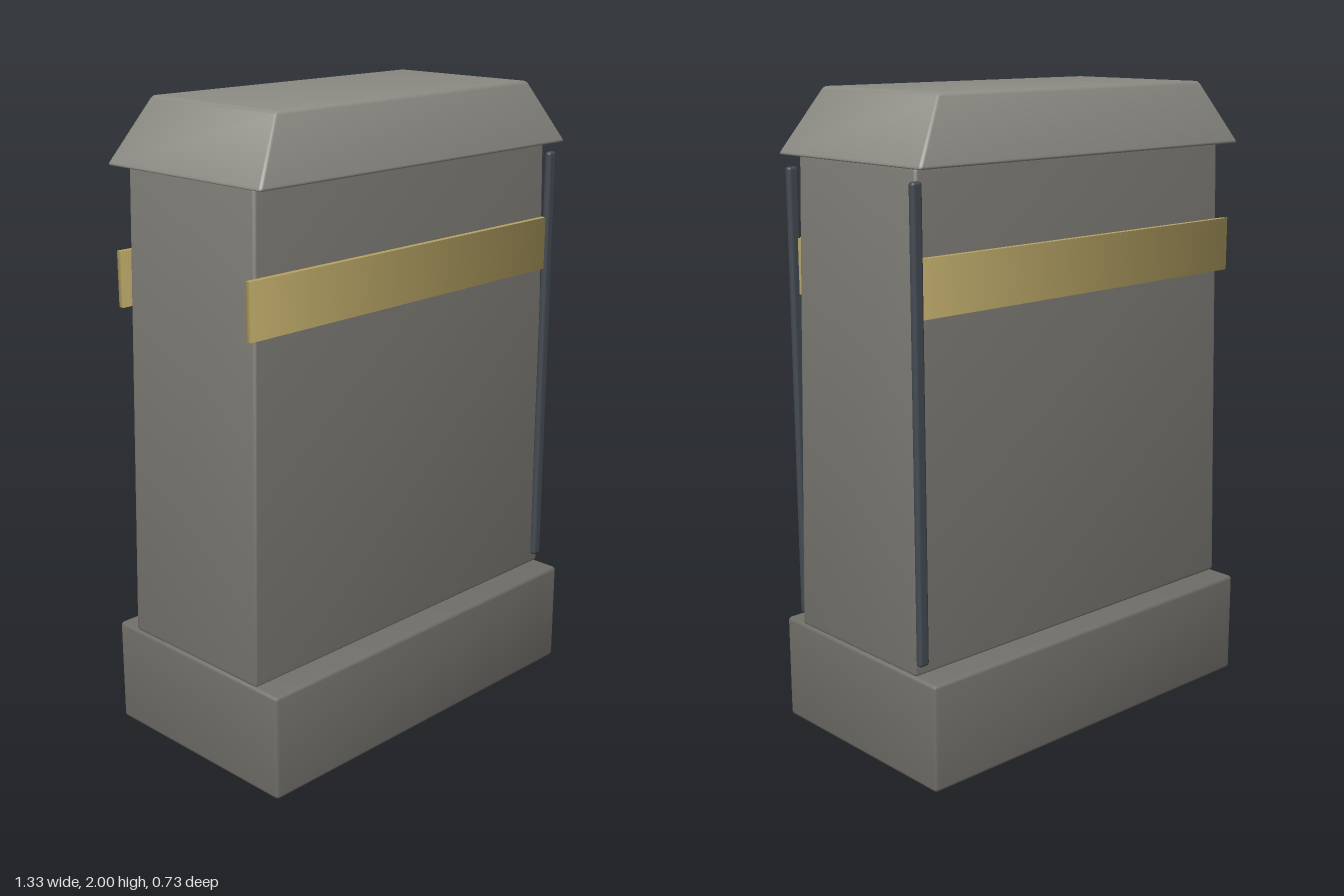
import * as THREE from 'three';
import { RoundedBoxGeometry } from 'three/addons/geometries/RoundedBoxGeometry.js';
import { toCreasedNormals } from 'three/addons/utils/BufferGeometryUtils.js';

const paint = (color) => new THREE.MeshStandardMaterial({ color });

// Soft-edged block from y0 to y1 whose half width and half depth change from bottom to top
function taperedBlock(name, y0, y1, bottom, top, bevel, material) {
  const h = y1 - y0;
  const geo = new RoundedBoxGeometry(bottom[0] * 2, h, bottom[1] * 2, 2, bevel);
  const p = geo.attributes.position;
  for (let i = 0; i < p.count; i++) {
    const t = p.getY(i) / h + 0.5;
    p.setX(i, p.getX(i) * THREE.MathUtils.lerp(1, top[0] / bottom[0], t));
    p.setZ(i, p.getZ(i) * THREE.MathUtils.lerp(1, top[1] / bottom[1], t));
  }
  const mesh = new THREE.Mesh(toCreasedNormals(geo, 0.6), material);
  mesh.name = name;
  mesh.position.y = (y0 + y1) / 2;
  return mesh;
}

// Flat strap, shaded smoothly around its vertical edges
function strapGeometry(w, h, d) {
  const geo = new THREE.BoxGeometry(w, h, d);
  const p = geo.attributes.position, n = geo.attributes.normal;
  for (let i = 0; i < p.count; i++) {
    if (n.getY(i) === 0) {
      n.setXYZ(i, Math.sign(p.getX(i)) * Math.SQRT1_2, 0, Math.sign(p.getZ(i)) * Math.SQRT1_2);
    }
  }
  return geo;
}

export function createModel() {
  const model = new THREE.Group();
  model.name = 'stonePillar';

  const gold = paint(0xb5a263);
  const iron = paint(0x444b52);

  // Plinth, leaning shaft and hipped cap
  model.add(
    taperedBlock('base', 0, 0.337, [0.665, 0.366], [0.665, 0.366], 0.012, paint(0x716f69)),
    taperedBlock('shaft', 0.337, 1.806, [0.665, 0.281], [0.628, 0.27], 0.012, paint(0x7a7872)),
    taperedBlock('cap', 1.803, 2, [0.662, 0.331], [0.537, 0.265], 0.01, paint(0x8c8b84)),
  );

  // A strap and an upright rod on both the front and the back
  const strapGeo = strapGeometry(1.305, 0.17, 0.018);
  const rodGeo = new RoundedBoxGeometry(0.036, 1.4, 0.024, 2, 0.01);
  for (const [side, z] of [['front', 1], ['back', -1]]) {
    const strap = new THREE.Mesh(strapGeo, gold);
    strap.name = side + 'Strap';
    strap.position.set(-0.015, 1.473, z * 0.281);
    const rod = new THREE.Mesh(rodGeo, iron);
    rod.name = side + 'Rod';
    rod.position.set(0.643, 1.07, z * 0.287);
    model.add(strap, rod);
  }
  return model;
}
